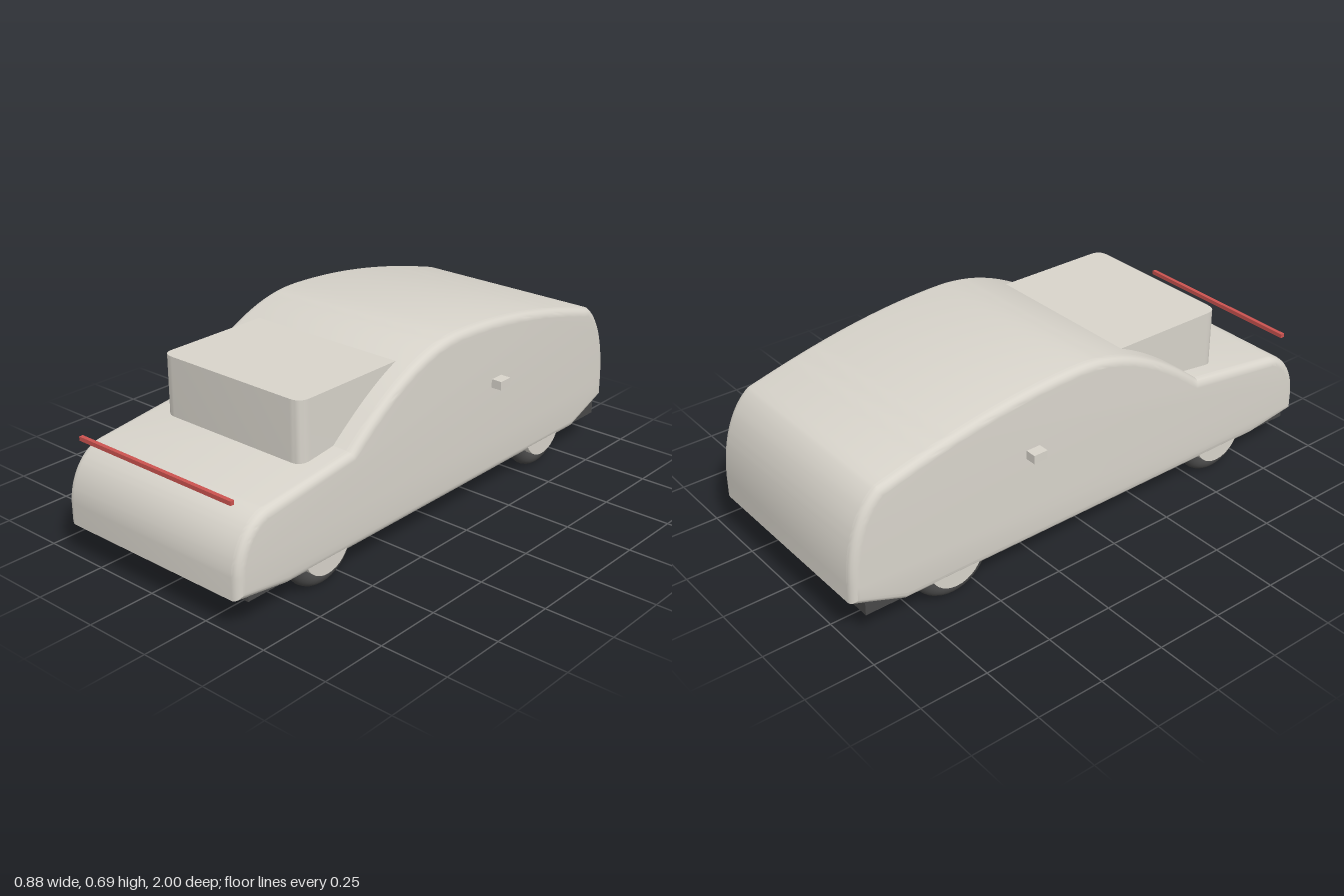
import * as THREE from 'three';
import { toCreasedNormals } from 'three/addons/utils/BufferGeometryUtils.js';

const paint = new THREE.MeshStandardMaterial({ color: 0xd8d4cb });
paint.name = 'warm grey paint';
const rubber = new THREE.MeshStandardMaterial({ color: 0x484848 });
rubber.name = 'dark rubber';
const red = new THREE.MeshStandardMaterial({ color: 0xcc5350 });
red.name = 'red light';

export function createModel() {
  const car = new THREE.Group();
  car.name = 'car';

  function add(name, geometry, material, x = 0, y = 0, z = 0) {
    const mesh = new THREE.Mesh(geometry, material);
    mesh.name = name;
    mesh.position.set(x, y, z);
    car.add(mesh);
    return mesh;
  }

  // Body: side profile (z, y) extruded across the width with rounded edges
  const profile = new THREE.Shape();
  profile.moveTo(-0.8, 0.09);
  profile.lineTo(0.78, 0.09);
  profile.lineTo(1.0, 0.12);
  profile.lineTo(1.0, 0.2);
  profile.bezierCurveTo(0.995, 0.29, 0.94, 0.375, 0.86, 0.388);
  profile.lineTo(0.48, 0.436);
  profile.bezierCurveTo(0.33, 0.56, 0.14, 0.69, -0.08, 0.688);
  profile.bezierCurveTo(-0.38, 0.684, -0.65, 0.62, -0.88, 0.555);
  profile.bezierCurveTo(-0.96, 0.5, -1.0, 0.37, -1.0, 0.23);
  profile.lineTo(-1.0, 0.165);
  profile.closePath();
  const bevel = 0.03;
  const body = new THREE.ExtrudeGeometry(profile, {
    depth: 0.8 - 2 * bevel, curveSegments: 20, bevelThickness: bevel,
    bevelSize: bevel, bevelOffset: -bevel, bevelSegments: 5,
  });
  body.translate(0, 0, -0.4 + bevel);
  body.rotateY(-Math.PI / 2);
  add('body', toCreasedNormals(body, 0.45), paint);

  // Cabin block: plan outline with rounded corners, raised upward
  const w = 0.315, front = 0.63, back = -0.5, r = 0.045;
  const plan = new THREE.Shape();
  plan.moveTo(-w, -back);
  plan.lineTo(-w, -front + r);
  plan.quadraticCurveTo(-w, -front, -w + r, -front);
  plan.lineTo(w - r, -front);
  plan.quadraticCurveTo(w, -front, w, -front + r);
  plan.lineTo(w, -back);
  plan.closePath();
  const cabin = new THREE.ExtrudeGeometry(plan, { depth: 0.22, bevelEnabled: false, curveSegments: 8 });
  cabin.rotateX(-Math.PI / 2);
  add('cabin', toCreasedNormals(cabin, 0.5), paint, 0, 0.415, 0);

  // Bumpers tucked under both ends
  for (const [name, end] of [['frontBumper', 1], ['rearBumper', -1]]) {
    add(name, new THREE.BoxGeometry(0.78, 0.06, 0.15), rubber, 0, 0.132, end * 0.875);
  }

  // Light bar ahead of the nose and trim strip on the tail
  add('frontLightBar', new THREE.BoxGeometry(0.7, 0.015, 0.015), red, 0, 0.43, 0.963);
  add('rearTrim', new THREE.BoxGeometry(0.7, 0.012, 0.015), paint, 0, 0.43, -0.953);

  // Wheels and door handles on each side
  const tyre = new THREE.TorusGeometry(0.126, 0.028, 16, 40).rotateY(Math.PI / 2);
  const hub = new THREE.CylinderGeometry(0.105, 0.105, 0.092, 32).rotateZ(Math.PI / 2);
  const handle = new THREE.BoxGeometry(0.06, 0.032, 0.055);
  for (const side of [-1, 1]) {
    const label = side > 0 ? 'left' : 'right';
    add(label + 'Handle', handle, paint, side * 0.41, 0.445, -0.283);
    for (const z of [-0.6, 0.6]) {
      const place = label + (z > 0 ? 'Front' : 'Rear');
      add(place + 'Tyre', tyre, rubber, side * 0.351, 0.156, z);
      add(place + 'Hub', hub, paint, side * 0.351, 0.156, z);
    }
  }
  return car;
}
